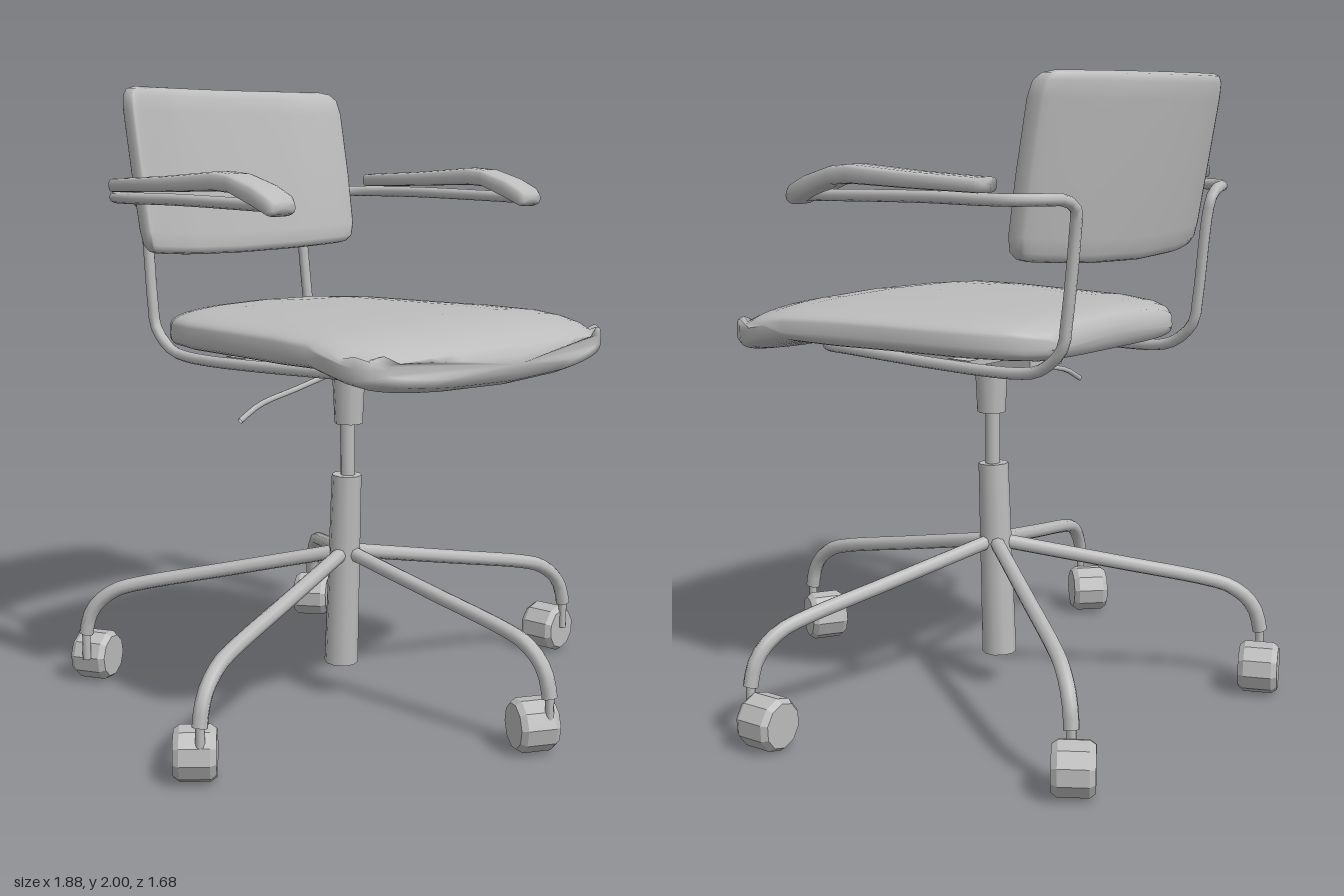
import * as THREE from 'three';

const V = (x, y, z) => new THREE.Vector3(x, y, z);

// Closed solid from rounded-rectangle sections [s, halfWidth, low, high, centreX] stacked along s.
function loft(sections, power, sides, place) {
  const pos = [], index = [], n = sections.length;
  const soft = (v) => Math.sign(v) * Math.abs(v) ** power;
  const add = (x, y, s, u) => pos.push(...place(x, y, s, u));
  for (const [s, hw, lo, hi, cx = 0] of sections) {
    for (let j = 0; j < sides; j++) {
      const t = (j / sides) * Math.PI * 2;
      const u = soft(Math.cos(t));
      add(cx + hw * u, (lo + hi) / 2 + ((hi - lo) / 2) * soft(Math.sin(t)), s, u);
    }
  }
  for (const [s, , lo, hi, cx = 0] of [sections[0], sections[n - 1]]) add(cx, (lo + hi) / 2, s, 0);
  for (let j = 0; j < sides; j++) {
    const k = (j + 1) % sides, top = (n - 1) * sides;
    for (let i = 0; i < n - 1; i++) {
      const a = i * sides + j, b = i * sides + k;
      index.push(a, b, b + sides, a, b + sides, a + sides);
    }
    index.push(n * sides, k, j, n * sides + 1, top + j, top + k);
  }
  const g = new THREE.BufferGeometry();
  g.setAttribute('position', new THREE.Float32BufferAttribute(pos, 3));
  g.setIndex(index);
  g.computeVertexNormals();
  return g;
}

// Round bar with closed ends along a smooth path.
function bar(points, radius, steps, sides = 8) {
  const curve = new THREE.CatmullRomCurve3(points, false, 'centripetal');
  return new THREE.TubeGeometry(curve, steps, radius, sides);
}

export function createModel() {
  const model = new THREE.Group();
  model.name = 'officeChair';
  const grey = new THREE.MeshStandardMaterial({ color: 0xbcbcbc, side: THREE.DoubleSide });
  grey.name = 'grey';

  const part = (name, geometry, parent = model) => {
    const mesh = new THREE.Mesh(geometry, grey);
    mesh.name = name;
    parent.add(mesh);
    return mesh;
  };
  const cylinder = (name, rTop, rBottom, y0, y1, x, z, sides = 10, parent = model) => {
    const mesh = part(name, new THREE.CylinderGeometry(rTop, rBottom, y1 - y0, sides), parent);
    mesh.position.set(x, (y0 + y1) / 2, z);
    return mesh;
  };

  // Seat cushion: wider at the front, with a drooping bowed front edge
  part('seat', loft([
    [-0.50, 0.30, 1.20, 1.25], [-0.485, 0.34, 1.175, 1.28], [-0.44, 0.395, 1.165, 1.293],
    [-0.38, 0.44, 1.165, 1.30], [-0.25, 0.49, 1.165, 1.305], [0, 0.52, 1.165, 1.305],
    [0.2, 0.55, 1.165, 1.305], [0.38, 0.575, 1.165, 1.30], [0.48, 0.583, 1.14, 1.29],
    [0.56, 0.585, 1.12, 1.275], [0.62, 0.575, 1.11, 1.255], [0.66, 0.55, 1.125, 1.23],
    [0.68, 0.50, 1.15, 1.20],
  ], 0.4, 40, (x, y, s, u) => {
    const front = THREE.MathUtils.clamp((s - 0.3) / 0.3, 0, 1);
    const droop = y > 1.22 ? -0.018 : 0.022 * front;
    return [x, y + droop * u * u, s - 0.075 * front * u * u];
  }));

  // Backrest: curved around the sitter and leaning backwards
  part('backrest', loft([
    [1.45, 0.42, -0.015, 0.015], [1.455, 0.445, -0.032, 0.032], [1.475, 0.465, -0.042, 0.042],
    [1.52, 0.475, -0.045, 0.045], [1.70, 0.48, -0.045, 0.045], [1.92, 0.48, -0.045, 0.045],
    [1.97, 0.472, -0.042, 0.042], [1.992, 0.452, -0.032, 0.032], [2.0, 0.42, -0.015, 0.015],
  ], 0.4, 40, (x, y, s) => {
    const bend = (x / 0.48) ** 2;
    const lift = 0.025 * bend * (2 - s) / 0.55;
    return [x, s + lift, -y - 0.55 - 0.17 * (s - 1.46) + 0.1 * bend];
  }));

  // One bent tube makes both arms, the back uprights and the loop below the seat
  const half = [
    [0.57, 1.64, 0.25], [0.57, 1.65, -0.2], [0.57, 1.65, -0.42], [0.55, 1.65, -0.51],
    [0.49, 1.65, -0.57], [0.41, 1.645, -0.595], [0.37, 1.62, -0.6], [0.36, 1.56, -0.592],
    [0.36, 1.3, -0.565], [0.36, 1.22, -0.55], [0.36, 1.155, -0.48], [0.36, 1.135, -0.4],
    [0.36, 1.145, 0.3], [0.345, 1.145, 0.38], [0.28, 1.145, 0.42],
  ];
  const left = half.map((p) => V(...p));
  const right = half.map(([x, y, z]) => V(-x, y, z)).reverse();
  part('tubeFrame', bar([...left, ...right], 0.018, 160));

  // Armrest pads, curving down at the front
  for (const side of [1, -1]) {
    const cx = 0.577 * side;
    part(side > 0 ? 'leftArmPad' : 'rightArmPad', loft([
      [-0.44, 0.054, 1.668, 1.712, cx], [-0.2, 0.056, 1.673, 1.722, cx],
      [0.03, 0.058, 1.68, 1.738, cx], [0.1, 0.06, 1.675, 1.732, cx],
      [0.2, 0.06, 1.637, 1.703, cx], [0.26, 0.058, 1.612, 1.675, cx],
      [0.28, 0.045, 1.62, 1.655, cx],
    ], 0.5, 16, (x, y, s) => [x, y, s]));
  }

  // Support plate and cross straps under the seat
  part('supportPlate', new THREE.BoxGeometry(0.17, 0.03, 0.5)).position.set(-0.01, 1.105, 0.025);
  for (const z of [-0.17, 0.2]) {
    part('crossStrap', new THREE.BoxGeometry(0.72, 0.02, 0.08)).position.set(0, 1.143, z);
  }

  // Height lever on the right
  part('heightLever', bar([V(-0.03, 1.085, -0.05), V(-0.2, 1.05, -0.05), V(-0.37, 1.015, -0.05),
    V(-0.45, 0.975, -0.05)], 0.009, 12, 6));

  // Gas column, from the seat socket down to the hub
  cylinder('seatSocket', 0.055, 0.046, 0.92, 1.1, -0.012, -0.005);
  cylinder('piston', 0.024, 0.024, 0.7, 0.95, -0.012, -0.01);
  const column = cylinder('column', 0.049, 0.056, 0.11, 0.75, -0.015, -0.024);
  column.rotation.x = 0.04;

  // Five legs: [foot x, foot z, caster x, caster z, wheel axis x, wheel axis z]
  const legs = [
    [0, 0.81, 0.005, 0.745, 0.85, 0.5],
    [0.86, 0.235, 0.855, 0.17, 0.05, 1],
    [-0.88, 0.235, -0.85, 0.18, 0.72, 0.7],
    [0.54, -0.72, 0.57, -0.75, 0.55, 0.83],
    [-0.55, -0.72, -0.475, -0.76, 0.4, 0.9],
  ];
  const profile = [[0.02, 0.49], [0.45, 0.417], [0.8, 0.357], [0.88, 0.335], [0.95, 0.29],
    [0.985, 0.24], [1, 0.18]];
  const wheelProfile = [[0, -0.063], [0.07, -0.063], [0.083, -0.045], [0.083, 0.045],
    [0.07, 0.063], [0, 0.063]].map(([r, h]) => new THREE.Vector2(r, h));
  for (const [fx, fz, wx, wz, ax, az] of legs) {
    const leg = new THREE.Group();
    leg.name = 'leg';
    model.add(leg);
    const path = profile.map(([t, y]) =>
      V(THREE.MathUtils.lerp(-0.01, fx, t), y, THREE.MathUtils.lerp(-0.02, fz, t)));
    part('legTube', bar(path, 0.024, 28), leg);
    cylinder('casterStem', 0.014, 0.014, 0.09, 0.2, fx, fz, 8, leg);
    part('casterFork', bar([V(fx, 0.1, fz), V((fx + wx) / 2, 0.095, (fz + wz) / 2), V(wx, 0.083, wz)],
      0.014, 4, 6), leg);
    const wheel = part('casterWheel', new THREE.LatheGeometry(wheelProfile, 10).toNonIndexed(), leg);
    wheel.geometry.computeVertexNormals();
    wheel.position.set(wx, 0.083, wz);
    wheel.quaternion.setFromUnitVectors(V(0, 1, 0), V(ax, 0, az).normalize());
  }
  return model;
}
